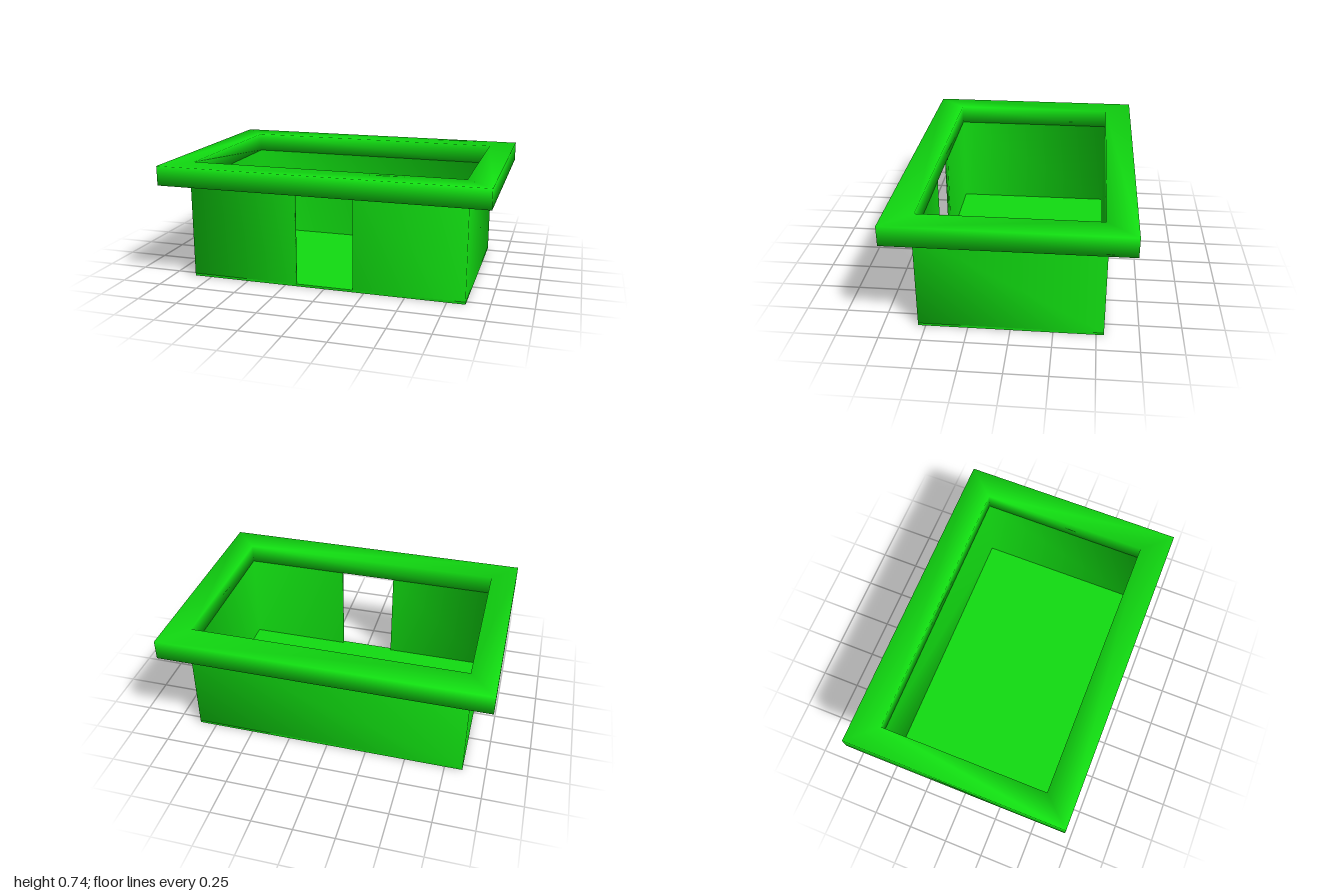
import * as THREE from 'three';
import { mergeVertices } from 'three/addons/utils/BufferGeometryUtils.js';

const green = new THREE.MeshStandardMaterial({ color: 0x11dd11 });

// Half sizes of the tray in plan, and its levels
const OUTER = [0.86, 0.545], INNER = [0.84, 0.525], RIM = [1, 0.7];
const FLOOR_TOP = 0.015, WALL_TOP = 0.615, RIM_TOP = 0.735, DOOR = 0.18;

const rectangle = ([x, z]) => [[-x, -z], [x, -z], [x, z], [-x, z]].map(p => new THREE.Vector2(...p));

// Extrudes a plan outline upwards and shares its corners for soft shading
function upright(shape, bottom, top) {
  let geometry = new THREE.ExtrudeGeometry(shape, { depth: top - bottom, bevelEnabled: false });
  geometry.deleteAttribute('normal');
  geometry.deleteAttribute('uv');
  geometry = mergeVertices(geometry, 1e-4);
  geometry.rotateX(-Math.PI / 2).translate(0, bottom, 0);
  geometry.computeVertexNormals();
  return geometry;
}

export function createModel() {
  const model = new THREE.Group();
  model.name = 'flangedTray';
  const add = (name, geometry) => {
    const mesh = new THREE.Mesh(geometry, green);
    mesh.name = name;
    model.add(mesh);
  };

  // Thin floor plate
  const floor = new THREE.BoxGeometry(OUTER[0] * 2, FLOOR_TOP, OUTER[1] * 2);
  add('floor', floor.translate(0, FLOOR_TOP / 2, 0));

  // Continuous wall, open at the doorway in the front (plan y is -z)
  const [ox, oz] = OUTER, [ix, iz] = INNER;
  const walls = new THREE.Shape([
    [DOOR, -oz], [ox, -oz], [ox, oz], [-ox, oz], [-ox, -oz], [-DOOR, -oz],
    [-DOOR, -iz], [-ix, -iz], [-ix, iz], [ix, iz], [ix, -iz], [DOOR, -iz],
  ].map(p => new THREE.Vector2(...p)));
  add('walls', upright(walls, FLOOR_TOP, WALL_TOP));

  // Broad overhanging rim
  const rim = new THREE.Shape(rectangle(RIM));
  rim.holes.push(new THREE.Path(rectangle(INNER)));
  add('rim', upright(rim, WALL_TOP, RIM_TOP));

  return model;
}
